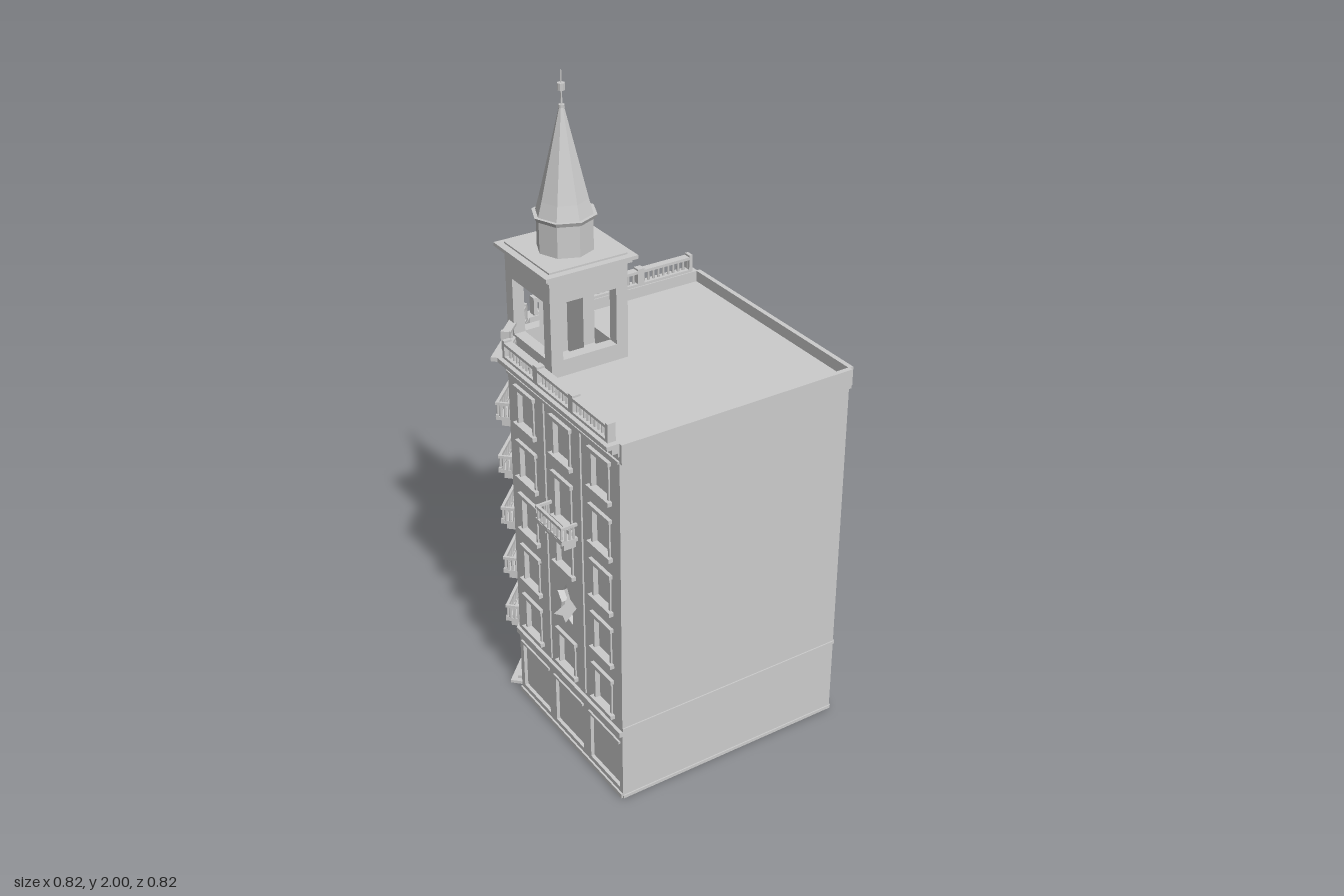
import * as THREE from 'three';

const stone = new THREE.MeshStandardMaterial({ color: 0xcccccc, side: THREE.DoubleSide });
stone.name = 'grey stone';

const IN = -0.359, OUT = 0.397, CUT = -0.199;   // wall planes and corner cut
const ROOF = 1.165;
const FLOORS = [0.245, 0.425, 0.605, 0.785, 0.965];
const COLUMNS = [-0.1, 0.0985, 0.3];

function add(parent, name, geometry, x = 0, y = 0, z = 0) {
  const m = new THREE.Mesh(geometry, stone);
  m.name = name;
  m.position.set(x, y, z);
  parent.add(m);
  return m;
}

// Box given by its centre in u, bottom and top in y, and back and front in z
function block(parent, name, u, w, y0, y1, z0, z1) {
  return add(parent, name, new THREE.BoxGeometry(w, y1 - y0, z1 - z0), u, (y0 + y1) / 2, (z0 + z1) / 2);
}

function rectPath(u, w, y0, y1) {
  return new THREE.Path([[-1, y0], [1, y0], [1, y1], [-1, y1]].map(([s, y]) => new THREE.Vector2(u + s * w / 2, y)));
}

// Broken, star-like outline
function jaggedPoints(u, y, scale) {
  const radii = [0.06, 0.035, 0.065, 0.04, 0.055, 0.03, 0.07, 0.04, 0.06, 0.035];
  return radii.map((r, i) => {
    const a = i / radii.length * Math.PI * 2 + 0.3;
    return new THREE.Vector2(u + scale * r * Math.cos(a), y + scale * r * 1.1 * Math.sin(a));
  });
}

function wallWithHoles(parent, name, u0, u1, y0, y1, holes, depth) {
  const shape = new THREE.Shape(rectPath((u0 + u1) / 2, u1 - u0, y0, y1).getPoints());
  shape.holes.push(...holes);
  return add(parent, name, new THREE.ExtrudeGeometry(shape, { depth, bevelEnabled: false }), 0, 0, -depth);
}

// Rails, posts and balusters along u
function balustrade(parent, u0, u1, y, h, z, d, posts) {
  const mid = (u0 + u1) / 2, len = u1 - u0;
  block(parent, 'bottomRail', mid, len, y, y + h * 0.16, z - d / 2, z + d / 2);
  block(parent, 'topRail', mid, len, y + h * 0.82, y + h, z - d / 2, z + d / 2);
  for (const [u, w] of posts) block(parent, 'post', u, w, y, y + h * 1.12, z - d / 2, z + d / 2);
  const n = Math.round(len / 0.018);
  for (let i = 0; i < n; i++) {
    add(parent, 'baluster', new THREE.CylinderGeometry(0.0035, 0.0045, h * 0.7, 6), u0 + (i + 0.5) * len / n, y + h / 2, z);
  }
}

function balcony(parent, u, w, y, d) {
  const g = new THREE.Group();
  g.name = 'balcony';
  block(g, 'balconySlab', u, w, y - 0.008, y + 0.003, 0, d);
  for (const s of [-1, 1]) {
    const side = u + s * (w / 2 - 0.004);
    block(g, 'balconyBracket', u + s * w * 0.36, 0.018, y - 0.035, y - 0.008, 0, d * 0.75);
    block(g, 'sideRail', side, 0.007, y + 0.041, y + 0.05, 0, d);
    for (const k of [0.2, 0.45, 0.7]) {
      add(g, 'sideBaluster', new THREE.CylinderGeometry(0.0035, 0.0045, 0.042, 6), side, y + 0.023, d * k);
    }
  }
  balustrade(g, u - w / 2, u + w / 2, y, 0.05, d - 0.005, 0.009, []);
  parent.add(g);
}

function windowTrim(parent, u, w, y0, y1) {
  block(parent, 'windowPane', u, w, y0, y1, -0.016, -0.011);
  for (const s of [-1, 1]) block(parent, 'windowJamb', u + s * (w / 2 + 0.004), 0.008, y0, y1, 0, 0.005);
  block(parent, 'windowSill', u, w + 0.035, y0 - 0.013, y0, 0, 0.014);
  block(parent, 'windowLintel', u, w + 0.03, y1, y1 + 0.012, 0, 0.011);
}

// Low parapet with its cornice
function cornice(parent, u0, u1, slabLength) {
  const mid = (u0 + u1) / 2, len = u1 - u0;
  block(parent, 'parapet', mid, len, 1.16, 1.2, -0.004, 0.005);
  block(parent, 'corniceSlab', mid, slabLength, 1.187, 1.2, 0, 0.038);
  block(parent, 'corniceMoulding', mid, len, 1.172, 1.187, 0, 0.022);
  block(parent, 'friezeBand', mid, len, 1.138, 1.146, 0, 0.006);
}

// Decorated street side; s flips the direction of the columns
function streetSide(name, s, balconyFloors, broken) {
  const g = new THREE.Group(), holes = [];
  g.name = name;
  const span = [s * CUT, s * OUT].sort((a, b) => a - b);
  const mid = (span[0] + span[1]) / 2, len = span[1] - span[0];
  COLUMNS.forEach((c, ci) => {
    const u = s * c;
    holes.push(rectPath(u, 0.16, 0.03, 0.195));
    block(g, 'shopPane', u, 0.16, 0.03, 0.195, -0.016, -0.011);
    block(g, 'shopLintel', u, 0.17, 0.195, 0.203, 0, 0.006);
    FLOORS.forEach((f, fi) => {
      const hit = broken.find(([bc, bf]) => bc === ci && bf === fi);
      if (hit) {
        // Ragged hole with a broken slab leaning in it
        const bu = s * (c + hit[2]), by = f + 0.085;
        holes.push(new THREE.Path(jaggedPoints(bu, by, 1)));
        const shard = add(g, 'brokenSlab', new THREE.ShapeGeometry(new THREE.Shape(jaggedPoints(0, 0, 0.8))), bu, by - 0.012, -0.012);
        shard.rotation.x = -0.85;
        return;
      }
      const door = ci === 1 && balconyFloors.includes(fi);
      const y0 = f + (door ? 0.01 : 0.035), y1 = f + 0.145;
      holes.push(rectPath(u, 0.08, y0, y1));
      windowTrim(g, u, 0.08, y0, y1);
      if (door) balcony(g, u, 0.147, f - 0.005, 0.052);
    });
  });
  wallWithHoles(g, 'streetWall', span[0], span[1], 0, 1.16, holes, 0.02);
  for (const c of [0.0, 0.197]) block(g, 'pilaster', s * c, 0.01, 0.255, 1.14, 0, 0.005);
  block(g, 'plinth', mid, len, 0, 0.015, 0, 0.006);
  block(g, 'stringCourse', mid, len, 0.228, 0.245, 0, 0.01);
  cornice(g, span[0], span[1], len);
  const ends = [s * -0.18, s * 0.38].sort((a, b) => a - b);
  const posts = [[-0.174, 0.012], [0.005, 0.023], [0.193, 0.023], [0.374, 0.012]];
  balustrade(g, ends[0], ends[1], 1.2, 0.05, 0.0125, 0.025, posts.map(([p, w]) => [s * p, w]));
  return g;
}

// Cut corner with door, steps and a balcony on each floor
function cornerSide() {
  const g = new THREE.Group(), half = (CUT - IN) / Math.SQRT2;
  g.name = 'cornerSide';
  const holes = [rectPath(0, 0.12, 0.02, 0.19)];
  block(g, 'entranceDoor', 0, 0.12, 0.02, 0.19, -0.016, -0.011);
  block(g, 'doorLintel', 0, 0.15, 0.19, 0.202, 0, 0.012);
  for (const f of FLOORS) {
    holes.push(rectPath(0, 0.1, f + 0.01, f + 0.145));
    windowTrim(g, 0, 0.1, f + 0.01, f + 0.145);
    balcony(g, 0, 0.178, f + 0.005, 0.051);
  }
  wallWithHoles(g, 'cornerWall', -half, half, 0, 1.16, holes, 0.02);
  block(g, 'lowerStep', 0, 0.18, 0, 0.01, 0, 0.045);
  block(g, 'upperStep', 0, 0.15, 0.01, 0.02, 0, 0.025);
  block(g, 'stringCourse', 0, half * 2, 0.228, 0.24, 0, 0.01);
  cornice(g, -half, half, 0.297);
  balustrade(g, -0.095, 0.095, 1.2, 0.05, 0.01, 0.025, [[-0.089, 0.012], [0.089, 0.012]]);
  return g;
}

// Plain sides
function plainSide(name, centre) {
  const g = new THREE.Group(), len = OUT - IN;
  g.name = name;
  block(g, 'plainWall', centre, len, 0, 1.2, -0.004, 0);
  block(g, 'topBand', centre, len, 1.14, 1.2, 0, 0.011);
  block(g, 'stringCourse', centre, len, 0.247, 0.258, 0, 0.004);
  block(g, 'plinth', centre, len, 0, 0.01, 0, 0.004);
  return g;
}

function tower() {
  const g = new THREE.Group();
  g.name = 'tower';
  for (let i = 0; i < 4; i++) {
    const side = new THREE.Group();
    side.name = 'towerSide';
    side.rotation.y = i * Math.PI / 2;
    const w = wallWithHoles(side, 'towerWall', -0.125, 0.125, ROOF, 1.47, [rectPath(0, 0.175, 1.215, 1.39)], 0.035);
    w.position.z = 0.09;
    g.add(side);
  }
  // Two thin crossing partitions inside
  for (const angle of [0, Math.PI / 2]) {
    add(g, 'towerPartition', new THREE.PlaneGeometry(0.18, 0.3), 0, 1.316, 0).rotation.y = angle;
  }
  block(g, 'towerMoulding', 0, 0.27, 1.462, 1.474, -0.135, 0.135);
  block(g, 'towerCornice', 0, 0.294, 1.474, 1.485, -0.147, 0.147);
  block(g, 'drumBase', 0, 0.25, 1.485, 1.49, -0.125, 0.125);
  // Eight-sided drum and spire: bottom radius, top radius, bottom y, top y
  const rings = [
    ['drum', 0.082, 0.082, 1.49, 1.585], ['eave', 0.088, 0.094, 1.585, 1.597],
    ['spireFlare', 0.083, 0.071, 1.597, 1.64], ['spire', 0.071, 0.007, 1.64, 1.9],
    ['finialRod', 0.003, 0.002, 1.9, 2], ['finialKnob', 0.011, 0.011, 1.945, 1.965],
    ['finialCollar', 0.009, 0.009, 1.897, 1.905],
  ];
  for (const [name, rb, rt, y0, y1] of rings) {
    const geo = new THREE.CylinderGeometry(rt, rb, y1 - y0, 8).toNonIndexed();
    geo.computeVertexNormals();
    add(g, name, geo, 0, (y0 + y1) / 2, 0);
  }
  g.position.set(-0.175, 0, -0.175);
  return g;
}

export function createModel() {
  const model = new THREE.Group();
  model.name = 'cornerBuilding';
  const place = (g, x, z, angle) => {
    g.position.set(x, 0, z);
    g.rotation.y = angle;
    model.add(g);
  };
  // Broken openings: column, floor and sideways shift
  place(streetSide('backSide', -1, [1, 3], [[0, 4, 0], [2, 2, -0.035]]), 0, IN, Math.PI);
  place(streetSide('rightSide', 1, [3], [[1, 1, 0]]), IN, 0, -Math.PI / 2);
  const c = (IN + CUT) / 2;
  place(cornerSide(), c, c, -Math.PI * 3 / 4);
  const mid = (IN + OUT) / 2;
  place(plainSide('frontSide', mid), 0, OUT, 0);
  place(plainSide('leftSide', -mid), OUT, 0, Math.PI / 2);

  // Flat roof with the cut corner, sunk behind the parapet
  const outline = [[IN, OUT], [OUT, OUT], [OUT, IN], [CUT, IN], [IN, CUT]];
  const roof = new THREE.Shape(outline.map(([x, z]) => new THREE.Vector2(x, -z)));
  const roofGeo = new THREE.ExtrudeGeometry(roof, { depth: 0.01, bevelEnabled: false }).rotateX(-Math.PI / 2);
  add(model, 'roof', roofGeo, 0, ROOF - 0.01, 0);
  model.add(tower());
  return model;
}
